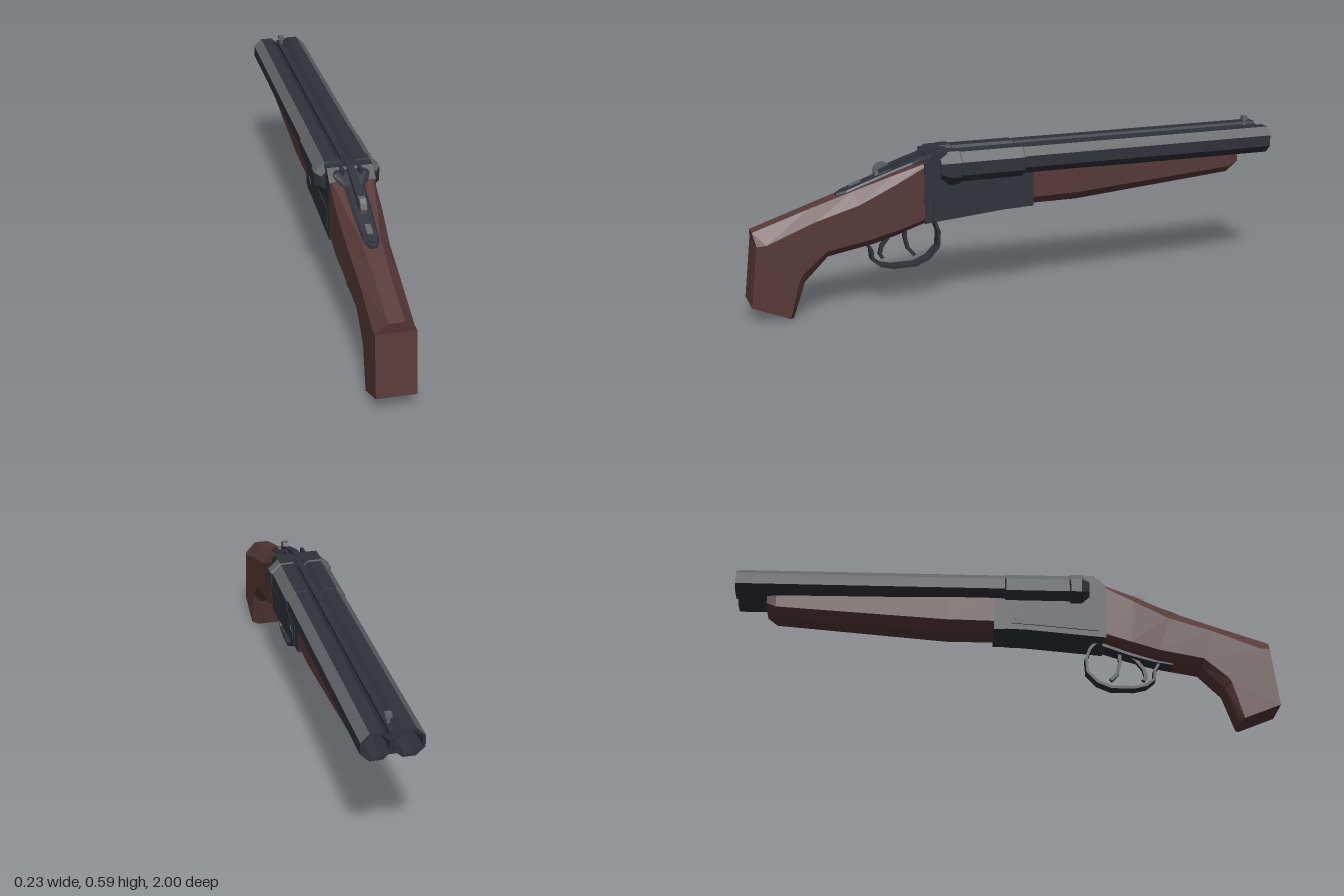
import * as THREE from 'three';

const mat = (name, color) => Object.assign(new THREE.MeshStandardMaterial({ color, flatShading: true }), { name });

export function createModel() {
  const root = new THREE.Group();
  root.name = 'doubleBarrelGun';
  const metal = mat('gunmetal', 0x30323a);
  const steel = mat('worn steel', 0x626366);
  const wood = mat('dark wood', 0x583939);

  const add = (name, geo, material, x = 0, y = 0, z = 0) => {
    const m = new THREE.Mesh(geo, material);
    m.name = name;
    m.position.set(x, y, z);
    root.add(m);
    return m;
  };

  // Eight-point section between a top and a bottom point, each [z, y].
  // w: half width, ct/cb: half width of top/bottom flats, ft/fb: heights of the side edges (0..1)
  const section = (top, bot, w, ct, cb, ft, fb, cx = 0) =>
    [[w, fb], [w, ft], [ct, 1], [-ct, 1], [-w, ft], [-w, fb], [-cb, 0], [cb, 0]].map(([x, f]) =>
      [cx + x, bot[1] + (top[1] - bot[1]) * f, bot[0] + (top[0] - bot[0]) * f]);
  const upright = (z, yt, yb, ...rest) => section([z, yt], [z, yb], ...rest);

  // Skin over sections listed from +z to -z; accent(i, j) picks the second material
  const loft = (rings, accent = () => false) => {
    const lists = [[], []];
    const n = rings[0].length;
    const last = rings[rings.length - 1];
    for (let i = 0; i < rings.length - 1; i++) {
      for (let j = 0; j < n; j++) {
        const k = (j + 1) % n;
        const [a, b, c, d] = [rings[i][j], rings[i][k], rings[i + 1][k], rings[i + 1][j]];
        lists[accent(i, j) ? 1 : 0].push(...a, ...d, ...c, ...a, ...c, ...b);
      }
    }
    for (let j = 1; j < n - 1; j++) {
      lists[0].push(...rings[0][0], ...rings[0][j], ...rings[0][j + 1]);
      lists[0].push(...last[0], ...last[j + 1], ...last[j]);
    }
    const g = new THREE.BufferGeometry();
    g.setAttribute('position', new THREE.Float32BufferAttribute([...lists[0], ...lists[1]], 3));
    g.addGroup(0, lists[0].length / 3, 0);
    if (lists[1].length) g.addGroup(lists[0].length / 3, lists[1].length / 3, 1);
    g.computeVertexNormals();
    return g;
  };

  // Side profile of [z, y] points, extruded across x
  const sideExtrude = (pts, width) => {
    const shape = new THREE.Shape(pts.map(p => new THREE.Vector2(p[0], p[1])));
    const g = new THREE.ExtrudeGeometry(shape, { depth: width, bevelEnabled: false });
    return g.translate(0, 0, -width / 2).rotateY(-Math.PI / 2);
  };

  // Flat band following a path of [z, y] points
  const strip = (pts, t, width) => {
    const side = s => pts.map((p, i) => {
      const a = pts[Math.max(i - 1, 0)], b = pts[Math.min(i + 1, pts.length - 1)];
      const l = Math.hypot(b[0] - a[0], b[1] - a[1]);
      return [p[0] - s * (b[1] - a[1]) / l * t / 2, p[1] + s * (b[0] - a[0]) / l * t / 2];
    });
    return sideExtrude([...side(1), ...side(-1).reverse()], width);
  };

  const crossPin = (r, len, sides) => new THREE.CylinderGeometry(r, r, len, sides).rotateZ(Math.PI / 2);

  // Barrels: breech collar, chamber sleeve, tube, then the hollow bore
  for (const s of [1, -1]) {
    const ring = (z, yt, yb, w) => upright(z, yt, yb, w, w * 0.42, w * 0.42, 0.71, 0.29, s * 0.053);
    const rings = [
      ring(0.31, 0.558, 0.47, 0.045),
      ring(0.28, 0.573, 0.45, 0.064),
      ring(0.24, 0.573, 0.45, 0.064),
      ring(0.235, 0.569, 0.456, 0.057),
      ring(0.0, 0.569, 0.456, 0.057),
      ring(-0.005, 0.567, 0.468, 0.052),
      ring(-1, 0.567, 0.468, 0.052),
      ring(-1, 0.557, 0.478, 0.042),
      ring(-0.6, 0.557, 0.478, 0.042),
    ];
    const outer = s > 0 ? 1 : 3;
    add(s > 0 ? 'leftBarrel' : 'rightBarrel', loft(rings, (i, j) => i < 6 && j === outer), [metal, steel]);
  }

  // Rib between the barrels, with the bead sight
  add('topRib', new THREE.BoxGeometry(0.022, 0.03, 1.27), metal, 0, 0.547, -0.355);
  add('lowerRib', new THREE.BoxGeometry(0.03, 0.02, 1.2), metal, 0, 0.488, -0.39);
  add('sightPost', new THREE.BoxGeometry(0.01, 0.03, 0.01), steel, 0, 0.572, -0.94);
  add('sightBead', new THREE.BoxGeometry(0.022, 0.016, 0.02), steel, 0, 0.59, -0.94);

  // Receiver and the iron that meets the fore-end
  add('receiver', sideExtrude([[0.37, 0.315], [0.37, 0.532], [0.325, 0.57], [0.265, 0.57], [0.265, 0.48],
    [0, 0.48], [0, 0.343], [0.07, 0.341]], 0.164), metal);
  add('foreEndIron', sideExtrude([[0, 0.343], [0, 0.47], [-0.045, 0.47], [-0.045, 0.343]], 0.156), metal);
  add('hingePin', crossPin(0.025, 0.176, 6), metal, 0, 0.395, 0.05);
  for (const s of [1, -1]) {
    add('sidePlate', sideExtrude([[0.34, 0.34], [0.34, 0.42], [0.12, 0.44], [0.02, 0.435], [0.02, 0.365], [0.1, 0.36]], 0.006),
      metal, s * 0.083);
    add('breechLug', new THREE.BoxGeometry(0.012, 0.035, 0.05), metal, s * 0.032, 0.556, 0.335);
  }

  // Fore-end
  const fore = (z, yb, w, cb, fb) => upright(z, 0.485, yb, w, w * 0.95, cb, 0.95, fb);
  add('foreEnd', loft([
    fore(-0.04, 0.345, 0.078, 0.045, 0.22),
    fore(-0.22, 0.345, 0.078, 0.045, 0.24),
    fore(-0.85, 0.395, 0.068, 0.04, 0.3),
    fore(-0.885, 0.42, 0.06, 0.034, 0.3),
  ]), wood);

  // Stock, from the sawn butt to the receiver
  add('stock', loft([
    section([1.0, 0.065], [0.85, 0.004], 0.069, 0.069, 0.045, 0.995, 0.1),
    section([0.975, 0.288], [0.805, 0.135], 0.069, 0.069, 0.045, 0.995, 0.12),
    section([0.982, 0.328], [0.79, 0.15], 0.069, 0.027, 0.045, 0.78, 0.12),
    section([0.78, 0.395], [0.72, 0.22], 0.069, 0.028, 0.045, 0.78, 0.14),
    section([0.62, 0.447], [0.56, 0.25], 0.072, 0.034, 0.05, 0.78, 0.12),
    section([0.48, 0.497], [0.46, 0.28], 0.079, 0.058, 0.055, 0.86, 0.1),
    section([0.365, 0.535], [0.365, 0.315], 0.079, 0.074, 0.065, 0.95, 0.08),
  ]), wood);

  // Upper tang set into the wrist
  const tang = (z, y, w) => upright(z, y, y - 0.035, w, w * 0.8, w, 0.8, 0.1);
  add('upperTang', loft([
    tang(0.675, 0.438, 0.012),
    tang(0.64, 0.449, 0.028),
    tang(0.5, 0.5, 0.034),
    tang(0.4, 0.533, 0.036),
    tang(0.35, 0.558, 0.065),
    tang(0.31, 0.57, 0.072),
  ]), metal);
  add('lockLever', strip([[0.52, 0.505], [0.42, 0.54], [0.33, 0.568], [0.29, 0.57]], 0.016, 0.024), metal);
  add('leverThumbPiece', crossPin(0.033, 0.022, 10), steel, 0, 0.505, 0.505);
  add('safetySlide', new THREE.BoxGeometry(0.02, 0.016, 0.045), steel, 0, 0.462, 0.605).rotation.x = 0.33;
  add('safetyBase', new THREE.BoxGeometry(0.024, 0.012, 0.08), metal, 0, 0.454, 0.62).rotation.x = 0.33;

  // Trigger guard, lower tang and the two triggers
  add('triggerGuard', strip([[0.6, 0.25], [0.57, 0.245], [0.553, 0.215], [0.55, 0.18], [0.52, 0.155], [0.475, 0.144],
    [0.39, 0.144], [0.34, 0.165], [0.303, 0.205], [0.3, 0.26], [0.315, 0.3], [0.34, 0.325]], 0.011, 0.044), metal);
  add('lowerTang', strip([[0.62, 0.241], [0.55, 0.252], [0.46, 0.277], [0.36, 0.313]], 0.016, 0.06), metal);
  add('frontTrigger', strip([[0.425, 0.3], [0.426, 0.25], [0.415, 0.205], [0.39, 0.178]], 0.013, 0.018), metal);
  add('rearTrigger', strip([[0.44, 0.29], [0.485, 0.262], [0.513, 0.225], [0.52, 0.195], [0.51, 0.178]], 0.013, 0.018), metal);

  return root;
}
